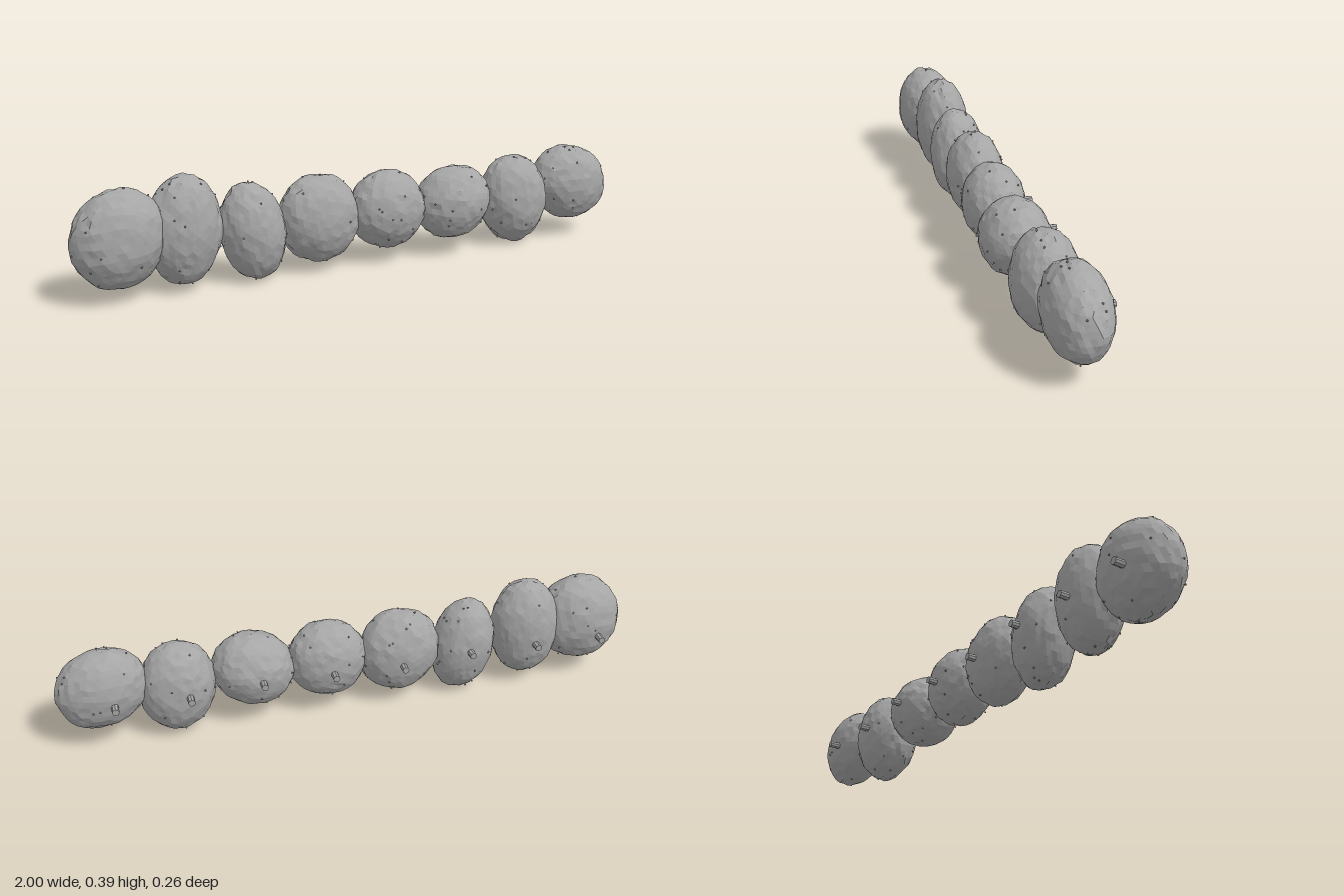
import * as THREE from 'three';

const stone = new THREE.MeshStandardMaterial({ color: 0xa6a6a6 });
stone.name = 'grey stone';
stone.flatShading = true;

// Per lump: centre x, y, z; radii x, y, z; tilt about z
const LUMPS = [
  [-0.845, 0.21, 0.005, 0.150, 0.163, 0.108, -0.45],
  [-0.632, 0.21, -0.005, 0.124, 0.182, 0.098, -0.05],
  [-0.400, 0.175, -0.005, 0.110, 0.169, 0.100, 0.14],
  [-0.163, 0.19, -0.005, 0.143, 0.152, 0.100, 0.2],
  [0.090, 0.193, 0.005, 0.137, 0.137, 0.106, 0],
  [0.345, 0.19, 0.013, 0.142, 0.127, 0.116, 0.4],
  [0.604, 0.17, 0.004, 0.128, 0.162, 0.106, 0.1],
  [0.850, 0.203, 0, 0.155, 0.136, 0.100, -0.45],
];

// Seeded random numbers
function seeded(seed) {
  let s = seed;
  return () => (s = (s * 16807) % 2147483647) / 2147483647;
}

// Repeatable value in -1..1 for a direction, so shared corners move together
function hash(v, seed) {
  const n = Math.sin(Math.round(v.x * 500) * 12.9898 + Math.round(v.y * 500) * 78.233
    + Math.round(v.z * 500) * 37.719 + seed * 5.1) * 43758.5453;
  return (n - Math.floor(n)) * 2 - 1;
}

// Faceted ellipsoid with broad swells and small chips
function lumpGeometry(rx, ry, rz, seed) {
  const geo = new THREE.IcosahedronGeometry(1, 6);
  const pos = geo.attributes.position;
  const v = new THREE.Vector3();
  for (let i = 0; i < pos.count; i++) {
    v.fromBufferAttribute(pos, i).normalize();
    const swell = Math.sin(v.x * 4 + seed * 2) * Math.sin(v.y * 5 + seed) * Math.cos(v.z * 4 - seed);
    const r = 1 + 0.02 * swell + 0.022 * hash(v, seed);
    pos.setXYZ(i, v.x * r * rx, v.y * r * ry, v.z * r * rz);
  }
  geo.computeVertexNormals();
  return geo;
}

export function createModel() {
  const model = new THREE.Group();
  model.name = 'lumpyRow';
  const grainGeo = new THREE.IcosahedronGeometry(0.0035, 0);
  const pegGeo = new THREE.CylinderGeometry(0.012, 0.012, 0.09, 8).rotateX(Math.PI / 2);

  LUMPS.forEach(([x, y, z, rx, ry, rz, tilt], i) => {
    const lump = new THREE.Group();
    lump.name = `lump${i + 1}`;
    lump.position.set(x, y, z);
    lump.rotation.z = tilt;
    const body = new THREE.Mesh(lumpGeometry(rx, ry, rz, i + 1), stone);
    body.name = 'lumpBody';
    lump.add(body);

    // Tiny grains scattered over the skin
    const rand = seeded(101 + i * 977);
    for (let k = 0; k < 22; k++) {
      const a = rand() * Math.PI * 2;
      const h = rand() * 2 - 1;
      const c = Math.sqrt(1 - h * h);
      const grain = new THREE.Mesh(grainGeo, stone);
      grain.name = 'grain';
      grain.position.set(c * Math.cos(a) * rx, h * ry, c * Math.sin(a) * rz).multiplyScalar(1.015);
      lump.add(grain);
    }
    model.add(lump);

    // Mounting peg at the back
    const peg = new THREE.Mesh(pegGeo, stone);
    peg.name = 'backPeg';
    peg.position.set(-0.88 + i * 0.2425, 0.186 + 0.008 * ((i % 3) - 1), -0.086);
    model.add(peg);
  });
  return model;
}
